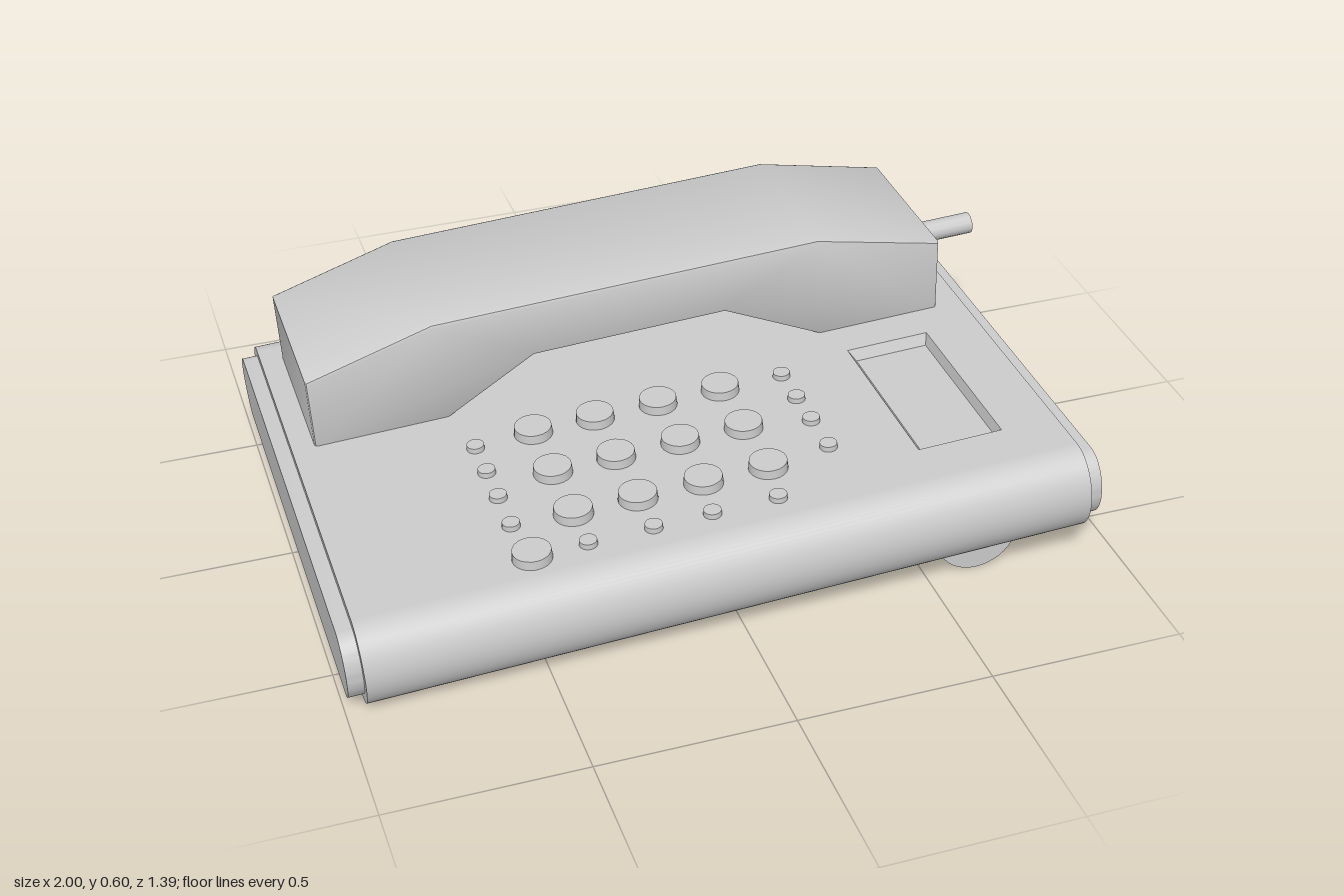
import * as THREE from 'three';
import { toCreasedNormals } from 'three/addons/utils/BufferGeometryUtils.js';

const grey = new THREE.MeshStandardMaterial({ color: 0xcccccc });
const greyDouble = new THREE.MeshStandardMaterial({ color: 0xcccccc, side: THREE.DoubleSide });
const HALF_H = 0.117; // half thickness of the base
const TILT = 0.0487;

function add(parent, name, geometry, x = 0, y = 0, z = 0, material = grey) {
  const mesh = new THREE.Mesh(geometry, material);
  mesh.name = name;
  mesh.position.set(x, y, z);
  parent.add(mesh);
  return mesh;
}

// Slab with elliptical long edges, running along x
function slabGeometry(length, halfZ, halfH, edge) {
  const shape = new THREE.Shape();
  const c = halfZ - edge;
  shape.absellipse(c, 0, edge, halfH, -Math.PI / 2, Math.PI / 2, false);
  shape.absellipse(-c, 0, edge, halfH, Math.PI / 2, Math.PI * 1.5, false);
  const g = new THREE.ExtrudeGeometry(shape, { depth: length, bevelEnabled: false, curveSegments: 16 });
  g.translate(0, 0, -length / 2).rotateY(Math.PI / 2);
  return g;
}

// Drop the flat top so that a panel with an opening can replace it
function withoutTop(geometry, top) {
  const p = geometry.attributes.position;
  const kept = [];
  for (let i = 0; i < p.count; i += 3) {
    if ([0, 1, 2].every((k) => p.getY(i + k) > top - 1e-4)) continue;
    for (let k = 0; k < 3; k++) kept.push(p.getX(i + k), p.getY(i + k), p.getZ(i + k));
  }
  const g = new THREE.BufferGeometry();
  g.setAttribute('position', new THREE.Float32BufferAttribute(kept, 3));
  g.computeVertexNormals();
  return g;
}

// Corners of a horizontal rectangle
const rect = (x0, x1, z0, z1, y) => [[x0, y, z0], [x0, y, z1], [x1, y, z1], [x1, y, z0]];

// Sloping walls and floor of the shallow tray
function trayGeometry(rim, floor) {
  const index = [4, 5, 6, 4, 6, 7];
  for (let i = 0; i < 4; i++) {
    const j = (i + 1) % 4;
    index.push(i, j, j + 4, i, j + 4, i + 4);
  }
  const g = new THREE.BufferGeometry();
  g.setAttribute('position', new THREE.Float32BufferAttribute([...rim, ...floor].flat(), 3));
  g.setIndex(index);
  const flat = g.toNonIndexed();
  flat.computeVertexNormals();
  return flat;
}

function buildBase() {
  const base = new THREE.Group();
  base.name = 'base';
  base.position.set(-0.03, 0.17, 0);
  base.rotation.z = TILT;

  // Body, end plates and top panel
  const body = withoutTop(slabGeometry(1.85, 0.693, HALF_H, 0.095), HALF_H);
  add(base, 'baseBody', toCreasedNormals(body, 0.5));
  const plate = toCreasedNormals(slabGeometry(0.04, 0.668, 0.093, 0.07), 0.5);
  for (const s of [-1, 1]) add(base, s > 0 ? 'leftEndPlate' : 'rightEndPlate', plate, s * 0.945);

  const rim = rect(0.55, 0.776, 0, 0.475, HALF_H);
  const floor = rect(0.57, 0.768, 0.014, 0.455, HALF_H - 0.03);
  const v2 = ([x, , z]) => new THREE.Vector2(x, -z);
  const panel = new THREE.Shape(rect(-0.925, 0.925, -0.598, 0.598, 0).map(v2));
  panel.holes.push(new THREE.Path(rim.map(v2)));
  add(base, 'topPanel', new THREE.ShapeGeometry(panel).rotateX(-Math.PI / 2), 0, HALF_H, 0);
  add(base, 'recessedTray', trayGeometry(rim, floor), 0, 0, 0, greyDouble);

  // Keys
  const key = (name, r, h, x, z) =>
    add(base, name, new THREE.CylinderGeometry(r * 0.96, r, h, 24), x + 0.036, HALF_H + h / 2, z);
  for (const x of [-0.365, -0.2, -0.03, 0.14])
    for (const z of [0.045, 0.225, 0.405]) key('dialKey', 0.05, 0.024, x, z);
  key('roundKey', 0.05, 0.024, -0.505, 0.53);
  for (const z of [0.055, 0.165, 0.275, 0.395]) key('smallKey', 0.023, 0.014, -0.52, z);
  for (const z of [0.045, 0.155, 0.26, 0.38]) key('smallKey', 0.023, 0.014, 0.31, z);
  for (const x of [-0.365, -0.2, -0.05, 0.12]) key('smallKey', 0.023, 0.014, x, 0.53);
  return base;
}

function buildHandset() {
  const handset = new THREE.Group();
  handset.name = 'handset';

  // Bridge-shaped grip
  const outline = [
    [-0.9, 0.238], [-0.55, 0.256], [-0.315, 0.404], [0.205, 0.432], [0.48, 0.306],
    [0.815, 0.322], [0.81, 0.53], [0.46, 0.601], [-0.58, 0.547], [-0.91, 0.44],
  ];
  const shape = new THREE.Shape(outline.map(([x, y]) => new THREE.Vector2(x, y)));
  const grip = new THREE.ExtrudeGeometry(shape, {
    depth: 0.425, bevelThickness: 0.01, bevelSize: 0.01, bevelOffset: -0.01, bevelSegments: 2,
  });
  add(handset, 'grip', toCreasedNormals(grip, 0.6), 0, 0, -0.54);

  // Tapered cord socket
  const socket = new THREE.CylinderGeometry(0.058, 0.097, 0.045, 4).toNonIndexed();
  socket.rotateY(Math.PI / 4).rotateZ(-Math.PI / 2 + TILT);
  socket.computeVertexNormals();
  add(handset, 'cordSocket', socket, 0.829, 0.424, -0.322);

  // Cord stub
  const cord = new THREE.CylinderGeometry(0.029, 0.029, 0.17, 12).rotateZ(-Math.PI / 2 + TILT);
  add(handset, 'cord', cord, 0.914, 0.434, -0.324);
  return handset;
}

export function createModel() {
  const model = new THREE.Group();
  model.name = 'deskTelephone';
  model.add(buildBase(), buildHandset());

  // Round bar that props up one end
  const foot = new THREE.CylinderGeometry(0.109, 0.109, 1.2, 40).rotateX(Math.PI / 2);
  add(model, 'foot', foot, 0.635, 0.115, 0);
  return model;
}
